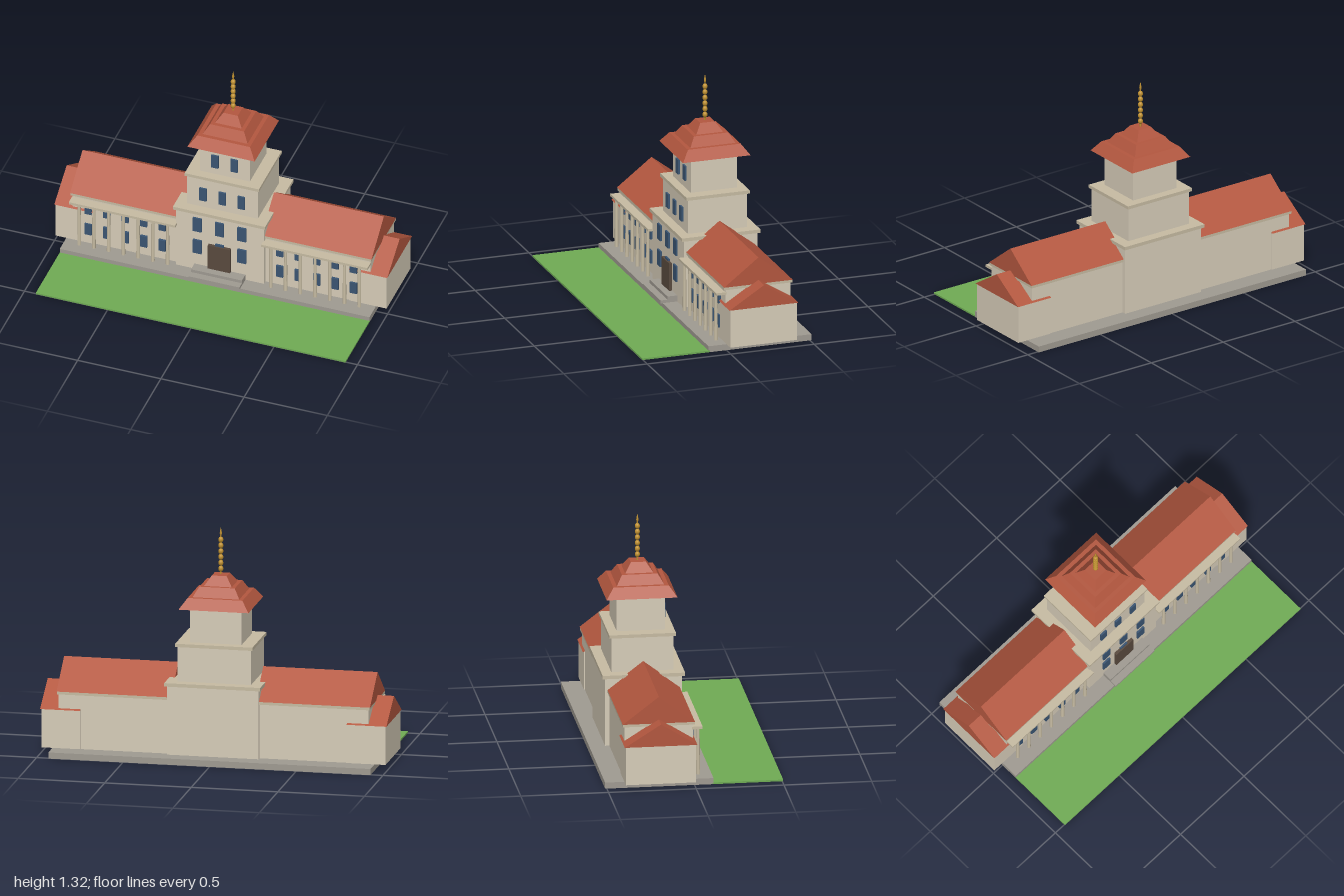
import * as THREE from 'three';

const mat = (color, flatShading = true) => new THREE.MeshStandardMaterial({ color, flatShading });
const M = {
  wall: mat(0xd6ccb8), trim: mat(0xc6bba2), roof: mat(0xb3573f), stone: mat(0x9f9a91),
  lawn: mat(0x6fab54), glass: mat(0x3a5573), door: mat(0x594a3e), gold: mat(0xbf9030, false),
};
const ZC = -0.2; // shared depth axis of tower and wings

export function createModel() {
  const root = new THREE.Group();
  const add = (name, geo, m, parent = root) => {
    const mesh = new THREE.Mesh(geo, m);
    mesh.name = name;
    parent.add(mesh);
    return mesh;
  };
  // box given by its limits on each axis
  const box = (name, m, x0, x1, y0, y1, z0, z1, parent) =>
    add(name, new THREE.BoxGeometry(x1 - x0, y1 - y0, z1 - z0), m, parent)
      .position.set((x0 + x1) / 2, (y0 + y1) / 2, (z0 + z1) / 2);
  const windowAt = (x, y, w, h, z, parent) =>
    box('window', M.glass, x - w / 2, x + w / 2, y - h / 2, y + h / 2, z - 0.02, z, parent);
  // gabled roof with its ridge along x
  const gable = (name, x0, x1, y0, y1, half, parent) => {
    const s = new THREE.Shape([[-half, 0], [half, 0], [0, y1 - y0]].map(p => new THREE.Vector2(...p)));
    const geo = new THREE.ExtrudeGeometry(s, { depth: x1 - x0, bevelEnabled: false });
    geo.rotateY(Math.PI / 2);
    add(name, geo, M.roof, parent).position.set(x0, y0, ZC);
  };

  // ground
  box('lawn', M.lawn, -0.93, 0.93, 0, 0.01, 0.1, 0.505);
  box('plinth', M.stone, -0.93, 0.93, 0, 0.036, -0.51, 0.108);
  box('lowerStep', M.stone, -0.153, 0.153, 0.036, 0.053, 0.01, 0.12);
  box('upperStep', M.stone, -0.153, 0.153, 0.053, 0.072, 0.01, 0.078);

  // tower: [half width, half depth, bottom, top, cornice half width, cornice half depth, cornice top]
  const tower = new THREE.Group();
  tower.name = 'tower';
  root.add(tower);
  [
    [0.264, 0.22, 0.036, 0.435, 0.277, 0.235, 0.455],
    [0.212, 0.177, 0.455, 0.657, 0.223, 0.19, 0.676],
    [0.15, 0.138, 0.676, 0.865, 0.159, 0.149, 0.88],
  ].forEach(([w, d, y0, y1, cw, cd, y2]) => {
    box('towerStorey', M.wall, -w, w, y0, y1, ZC - d, ZC + d, tower);
    box('towerCornice', M.trim, -cw, cw, y1, y2, ZC - cd, ZC + cd, tower);
  });
  for (const x of [-0.134, 0, 0.134]) {
    windowAt(x, 0.357, 0.052, 0.093, 0.031, tower);
    windowAt(x, 0.202, 0.052, 0.093, 0.031, tower);
  }
  for (const x of [-0.115, 0, 0.115]) windowAt(x, 0.547, 0.043, 0.086, -0.012, tower);
  for (const x of [-0.058, 0.058]) windowAt(x, 0.768, 0.043, 0.086, -0.051, tower);
  box('door', M.door, -0.067, 0.067, 0.072, 0.236, 0.005, 0.038, tower);

  // stepped pyramid roof: [bottom half, top half, y0, y1]
  [[0.202, 0.158, 0.878, 0.938], [0.135, 0.102, 0.938, 0.993], [0.08, 0.043, 0.993, 1.047]]
    .forEach(([a, b, y0, y1]) => {
      const geo = new THREE.CylinderGeometry(b * Math.SQRT2, a * Math.SQRT2, y1 - y0, 4);
      geo.rotateY(Math.PI / 4);
      add('towerRoofTier', geo, M.roof, tower).position.set(0, (y0 + y1) / 2, ZC);
    });

  // beaded finial
  const finial = new THREE.Group();
  finial.name = 'finial';
  finial.position.z = ZC;
  root.add(finial);
  add('finialRod', new THREE.CylinderGeometry(0.004, 0.005, 0.24, 10), M.gold, finial).position.y = 1.16;
  for (let i = 0; i < 6; i++) {
    const bead = add('finialBead', new THREE.SphereGeometry(0.0145, 16, 12), M.gold, finial);
    bead.position.y = 1.079 + i * 0.0337;
    bead.scale.y = 1.2;
  }
  const tip = [[0, 0], [0.005, 0.008], [0.007, 0.018], [0.004, 0.035], [0, 0.055]];
  add('finialTip', new THREE.LatheGeometry(tip.map(p => new THREE.Vector2(...p)), 12), M.gold, finial)
    .position.y = 1.267;

  // wings, laid out by limits on the left and reflected for the right
  for (const s of [1, -1]) {
    const wing = new THREE.Group();
    wing.name = s > 0 ? 'leftWing' : 'rightWing';
    root.add(wing);
    const span = (a, b) => (s > 0 ? [a, b] : [-b, -a]);
    box('wingWall', M.wall, ...span(0.25, 0.895), 0.036, 0.35, ZC - 0.195, ZC + 0.195, wing);
    box('wingCornice', M.trim, ...span(0.25, 0.903), 0.35, 0.366, ZC - 0.205, ZC + 0.205, wing);
    gable('wingRoof', ...span(0.245, 0.905), 0.366, 0.524, 0.206, wing);

    // lower end pavilion
    box('endWall', M.wall, ...span(0.77, 0.994), 0.036, 0.26, ZC - 0.2, ZC + 0.2, wing);
    gable('endRoof', ...span(0.77, 1), 0.26, 0.39, 0.207, wing);

    // colonnade
    box('portico', M.trim, ...span(0.258, 0.897), 0.32, 0.335, -0.01, 0.05, wing);
    for (let i = 0; i < 7; i++) {
      add('column', new THREE.CylinderGeometry(0.009, 0.011, 0.284, 12), M.trim, wing)
        .position.set(s * (0.31 + i * 0.0885), 0.178, 0.032);
    }
    for (let i = 0; i < 5; i++) {
      const x = s * (0.353 + i * 0.111);
      windowAt(x, 0.137, 0.042, 0.075, 0.01, wing);
      windowAt(x, 0.282, 0.042, 0.075, 0.01, wing);
    }
  }
  return root;
}
